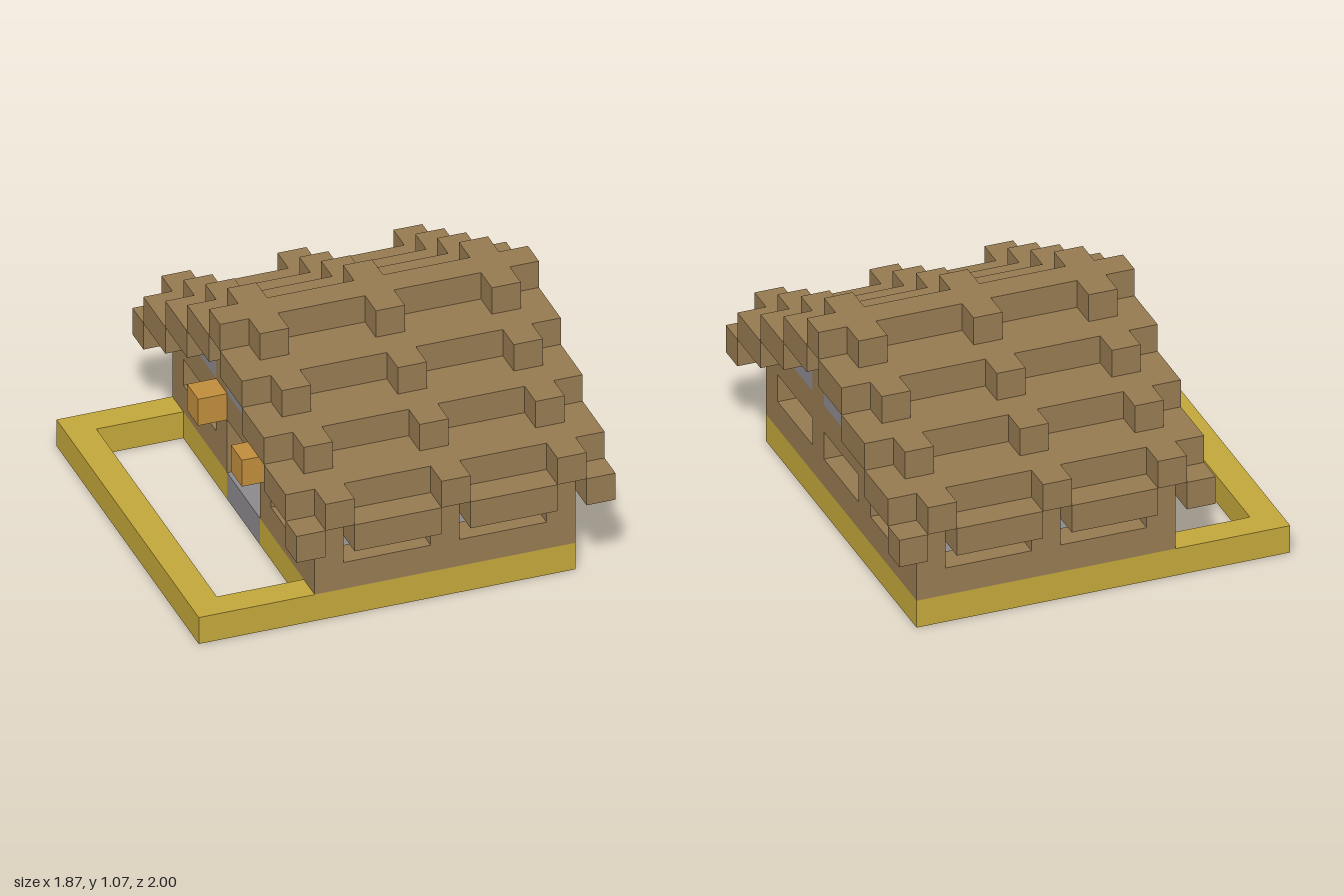
import * as THREE from 'three';

// Everything sits on a block grid: 14 wide (x), 8 high (y), 15 deep (z).
const U = 2 / 15;

export function createModel() {
  const model = new THREE.Group();
  const mat = (name, color) => {
    const m = new THREE.MeshStandardMaterial({ color });
    m.name = name;
    return m;
  };
  const wood = mat('brown wood', 0x957a50);
  const ochre = mat('yellow foundation', 0xc2a63a);
  const stone = mat('grey stone', 0x8b888b);
  const glow = mat('amber lamp', 0xbf8c3c);

  const part = (name) => {
    const g = new THREE.Group();
    g.name = name;
    model.add(g);
    return g;
  };
  // Box between two grid corners
  const block = (group, name, material, x0, y0, z0, x1, y1, z1) => {
    const mesh = new THREE.Mesh(
      new THREE.BoxGeometry((x1 - x0) * U, (y1 - y0) * U, (z1 - z0) * U), material);
    mesh.position.set(((x0 + x1) / 2 - 7) * U, ((y0 + y1) / 2) * U, ((z0 + z1) / 2 - 7.5) * U);
    mesh.name = name;
    group.add(mesh);
  };
  // The same box on the front and the back
  const mirrored = (group, name, material, x0, y0, z0, x1, y1, z1) => {
    block(group, name, material, x0, y0, z0, x1, y1, z1);
    block(group, name, material, x0, y0, 15 - z1, x1, y1, 15 - z0);
  };

  // Foundation slab with an open yard joined to the main room through the doorway
  const pts = (list) => list.map(([x, z]) => new THREE.Vector2((x - 7) * U, (z - 7.5) * U));
  const slab = new THREE.Shape(pts([[0, 1], [13, 1], [13, 14], [0, 14]]));
  slab.holes.push(new THREE.Path(pts([[1, 2], [4, 2], [4, 6], [5, 6], [5, 2], [8, 2],
    [8, 13], [5, 13], [5, 9], [4, 9], [4, 13], [1, 13]])));
  for (const z of [2, 6, 10]) {
    slab.holes.push(new THREE.Path(pts([[9, z], [12, z], [12, z + 3], [9, z + 3]])));
  }
  const slabGeo = new THREE.ExtrudeGeometry(slab, { depth: U, bevelEnabled: false });
  slabGeo.rotateX(Math.PI / 2).translate(0, U, 0);
  const foundation = new THREE.Mesh(slabGeo, ochre);
  foundation.name = 'foundation';
  model.add(foundation);

  // Stone floors
  const floors = part('floors');
  block(floors, 'mainFloor', stone, 5, 0, 2, 8, 1, 13);
  block(floors, 'doorstep', stone, 4, 0, 6, 5, 1, 9);
  for (const z of [2, 6, 10]) block(floors, 'roomFloor', stone, 9, 0, z, 12, 1, z + 3);

  // Walls: sill row, posts between the windows, lintel row
  const walls = part('walls');
  for (const y of [1, 3]) mirrored(walls, 'longWallRow', wood, 4, y, 13, 13, y + 1, 14);
  block(walls, 'sideSill', wood, 12, 1, 2, 13, 2, 13);
  mirrored(walls, 'doorSideSill', wood, 4, 1, 9, 5, 2, 13);
  for (const x of [4, 12]) {
    block(walls, 'sideLintel', wood, x, 3, 2, x + 1, 4, 13);
    mirrored(walls, 'sidePost', wood, x, 2, 9, x + 1, 3, 10);
  }
  for (const x of [4, 8, 12]) mirrored(walls, 'post', wood, x, 2, 13, x + 1, 3, 14);

  // Gables: stone panels between two wooden uprights
  const gables = part('gables');
  for (const x of [4, 12]) {
    mirrored(gables, 'gableUpright', wood, x, 4, 9, x + 1, 6, 10);
    mirrored(gables, 'gableSidePanel', stone, x, 4, 10, x + 1, 5, 12);
    block(gables, 'gablePanel', stone, x, 4, 6, x + 1, 6, 9);
    block(gables, 'gablePeak', stone, x, 6, 7, x + 1, 7, 8);
  }

  // Stepped roof: eaves, three tiers and a ridge, each with projecting rafter ends
  const roof = part('roof');
  for (const [a, b] of [[3, 4], [5, 8], [9, 12], [13, 14]]) {
    mirrored(roof, 'eave', wood, a, 3, 14, b, 4, 15);
  }
  for (let t = 0; t < 4; t++) {
    const y = 4 + t, z = 12 - 2 * t;
    if (t < 3) mirrored(roof, 'roofTier', wood, 3, y, z, 14, y + 1, z + 2);
    else block(roof, 'ridge', wood, 3, 7, 7, 14, 8, 8);
    const end = t < 3 ? z + 2 : 8;
    for (const x of [4, 8, 12]) {
      mirrored(roof, 'rafterEnd', wood, x, y, end, x + 1, y + 1, end + 1);
    }
  }

  // Lamps either side of the door
  mirrored(part('lamps'), 'lamp', glow, 3, 3, 9, 4, 4, 10);

  return model;
}
